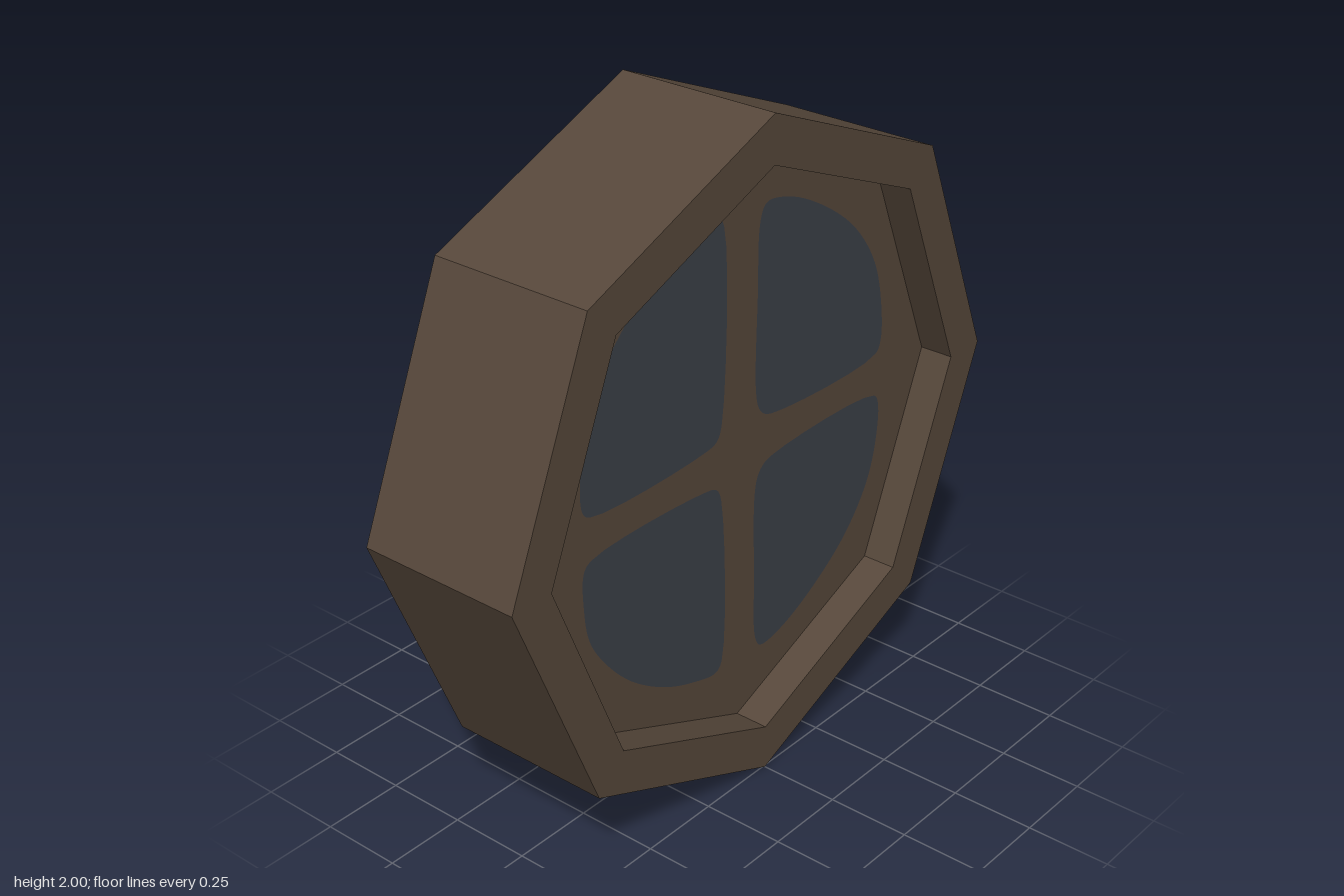
import * as THREE from 'three';

const brown = new THREE.MeshStandardMaterial({ color: 0x56473a });
brown.name = 'dark wood';
const blue = new THREE.MeshStandardMaterial({ color: 0x3b4148 });
blue.name = 'slate glass';

const HALF = 0.255;   // half the thickness
const FLOOR = 0.15;   // front recess floor

// Pane outlines, relative to the window centre
const panes = {
  upperLeftPane: [[-0.08, 0.12], [-0.075, 0.69], [-0.1, 0.72], [-0.2, 0.7], [-0.32, 0.65], [-0.46, 0.55],
    [-0.57, 0.42], [-0.62, 0.3], [-0.637, 0.2], [-0.634, 0.09], [-0.605, 0.064], [-0.15, 0.061], [-0.1, 0.075]],
  upperRightPane: [[0.07, 0.13], [0.068, 0.45], [0.076, 0.66], [0.1, 0.7], [0.19, 0.69], [0.34, 0.62],
    [0.5, 0.5], [0.6, 0.36], [0.64, 0.21], [0.642, 0.1], [0.62, 0.068], [0.14, 0.066], [0.095, 0.085]],
};
const flipped = (points) => points.map(([x, y]) => [x, -y]);
panes.lowerLeftPane = flipped(panes.upperLeftPane).map(([x, y]) => [x, y < -0.3 ? y * 0.925 : y]);
panes.lowerRightPane = flipped(panes.upperRightPane).map(([x, y]) => [x, y < -0.3 ? y * 0.96 : y]);

function paneGeometry(points) {
  const curve = new THREE.CatmullRomCurve3(points.map(([x, y]) => new THREE.Vector3(x, y, 0)), true, 'centripetal');
  const outline = curve.getPoints(78).slice(0, -1).map((p) => new THREE.Vector2(p.x, p.y));
  return new THREE.ShapeGeometry(new THREE.Shape(outline));
}

export function createModel() {
  const model = new THREE.Group();
  model.name = 'octagonalWindow';

  // Solid octagon with a raised rim around the front
  const profile = [[0, -HALF], [1, -HALF], [1, HALF], [0.86, HALF], [0.86, FLOOR], [0, FLOOR]]
    .map(([r, z]) => new THREE.Vector2(r, z));
  const body = new THREE.LatheGeometry(profile, 8).rotateX(Math.PI / 2).toNonIndexed();
  body.computeVertexNormals();
  const frame = new THREE.Mesh(body, brown);
  frame.name = 'frame';
  model.add(frame);

  // Four panes on the recess floor, and the same four on the back
  for (const [side, z, turn] of [['front', FLOOR + 0.002, 0], ['back', -HALF - 0.002, Math.PI]]) {
    const group = new THREE.Group();
    group.name = side + 'Panes';
    for (const [name, points] of Object.entries(panes)) {
      const pane = new THREE.Mesh(paneGeometry(points), blue);
      pane.name = name;
      group.add(pane);
    }
    group.position.z = z;
    group.rotation.y = turn;
    model.add(group);
  }

  model.position.y = 1;
  const root = new THREE.Group();
  root.name = 'window';
  root.add(model);
  return root;
}
